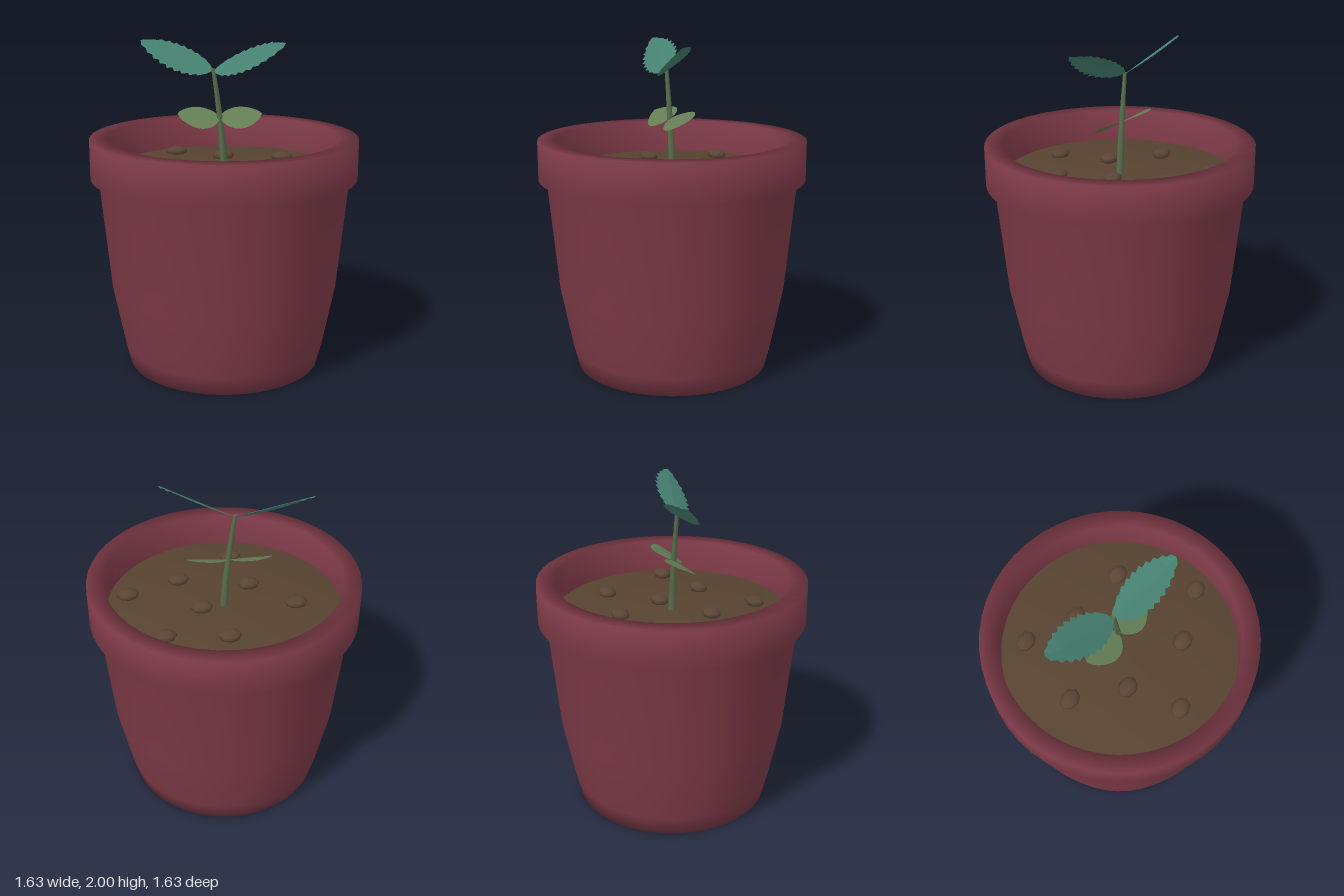
import * as THREE from 'three';

const mat = (name, color, side = THREE.FrontSide) => {
  const m = new THREE.MeshStandardMaterial({ color, side });
  m.name = name;
  return m;
};
const V = (x, y, z) => new THREE.Vector3(x, y, z);

// Leaf blade: two halves meeting at a ridge from base to tip.
// half is the vector from the ridge to the upper edge, drop lowers both edges,
// teeth is the number of saw teeth per side (0 gives a plain oval edge).
function bladeGeometry(base, tip, half, drop, teeth, fullness) {
  const rows = teeth ? teeth * 2 : 16;
  const axis = tip.clone().sub(base);
  const pos = [], index = [];
  for (const s of [1, -1]) {
    const start = pos.length / 3;
    for (let i = 0; i <= rows; i++) {
      const t = i / rows;
      let w = Math.pow(Math.sin(Math.PI * Math.pow(t, 0.9)), fullness) || 0;
      let lean = 0;
      if (teeth && i < rows && i > 0) {
        w *= i % 2 ? 1.06 : 0.88;
        lean = i % 2 ? 0.4 / rows : 0;
      }
      const mid = base.clone().addScaledVector(axis, t);
      const edge = base.clone().addScaledVector(axis, t + lean).addScaledVector(half, s * w);
      edge.y = Math.min(edge.y - drop * w, 2);
      pos.push(...mid.toArray(), ...edge.toArray());
      if (i < rows) {
        const a = start + i * 2;
        index.push(a, a + 2, a + 3, a, a + 3, a + 1);
      }
    }
  }
  // Keep the upper faces of both halves wound upwards
  for (let k = 0; k < index.length; k += 3) {
    const [a, b, c] = [0, 1, 2].map(j => V().fromArray(pos, index[k + j] * 3));
    if (b.sub(a).cross(c.sub(a)).y < 0) [index[k + 1], index[k + 2]] = [index[k + 2], index[k + 1]];
  }
  const g = new THREE.BufferGeometry();
  g.setAttribute('position', new THREE.Float32BufferAttribute(pos, 3));
  g.setIndex(index);
  g.computeVertexNormals();
  return g;
}

export function createModel() {
  const group = new THREE.Group();
  const potMat = mat('pot red', 0x7d3a47);
  const soilMat = mat('soil brown', 0x574331);
  const pebbleMat = mat('clod brown', 0x594534);
  const stemMat = mat('stem green', 0x566c49);
  const seedLeafMat = mat('seed leaf green', 0x637d54, THREE.DoubleSide);
  const leafMat = mat('leaf teal', 0x458071, THREE.DoubleSide);

  const add = (name, geometry, material) => {
    const m = new THREE.Mesh(geometry, material);
    m.name = name;
    group.add(m);
    return m;
  };
  const lathe = pts => new THREE.LatheGeometry(pts.map(p => new THREE.Vector2(...p)), 48);

  // Pot with a thick overhanging rim; the coarse profile gives soft shading
  add('pot', lathe([[0, 0], [0.595, 0], [0.625, 0.12], [0.7, 0.5], [0.765, 1.175],
    [0.815, 1.19], [0.815, 1.43], [0.71, 1.43], [0.71, 1.15]]), potMat);

  // Flat soil with a softly shaded border
  add('soil', lathe([[0.712, 1.1], [0.712, 1.225], [0, 1.225]]), soilMat);

  // Clods lying on the soil
  const clods = [[-0.26, -0.5], [0.03, -0.33], [0.4, -0.26], [-0.43, -0.08], [0.14, -0.02],
    [-0.19, 0.17], [0.56, 0.2], [0.23, 0.3], [-0.14, 0.5]];
  const clodGeometry = new THREE.SphereGeometry(0.07, 8, 6).scale(1, 0.45, 0.79);
  for (const [x, z] of clods) add('soilClod', clodGeometry, pebbleMat).position.set(x, 1.24, z);

  // Tapered stem bending towards its right
  const stem = new THREE.CylinderGeometry(0.012, 0.024, 0.64, 8, 8).translate(0, 1.52, 0);
  const p = stem.attributes.position;
  for (let i = 0; i < p.count; i++) {
    const t = (p.getY(i) - 1.2) / 0.64;
    p.setX(i, p.getX(i) - 0.065 * Math.pow(Math.max(t, 0), 1.5));
  }
  stem.computeVertexNormals();
  add('stem', stem, stemMat);

  // Lower pair of oval seed leaves
  const seedHalf = V(0, 0.05, -0.095);
  add('rightSeedLeaf', bladeGeometry(V(-0.025, 1.545, 0), V(-0.28, 1.565, -0.04), seedHalf, 0.012, 0, 0.65), seedLeafMat);
  add('leftSeedLeaf', bladeGeometry(V(-0.025, 1.545, 0), V(0.23, 1.568, 0.015), seedHalf, 0.012, 0, 0.65), seedLeafMat);

  // Upper pair of saw-toothed leaves
  const top = V(-0.063, 1.83, 0);
  add('rightLeaf', bladeGeometry(top, V(-0.49, 2, -0.15), V(0.035, 0.062, -0.093), 0.012, 10, 0.65), leafMat);
  add('leftLeaf', bladeGeometry(top, V(0.35, 2, 0.14), V(0.035, 0.062, -0.088), 0.012, 10, 0.65), leafMat);

  return group;
}
